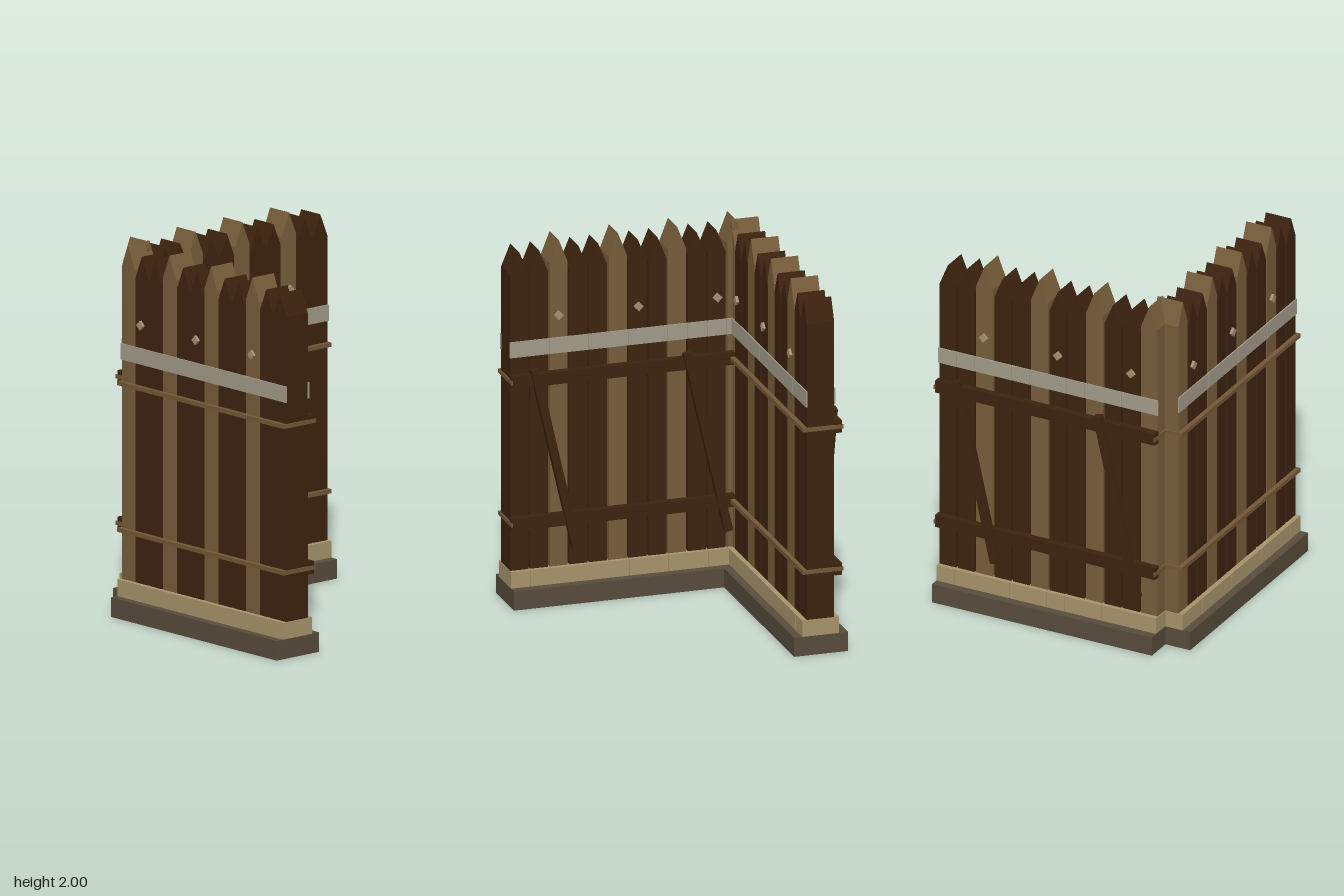
import * as THREE from 'three';

const mat = (name, color) => {
  const m = new THREE.MeshStandardMaterial({ color });
  m.name = name;
  return m;
};

export function createModel() {
  const dark = mat('darkWood', 0x3d220f);
  const light = mat('lightWood', 0x775d3a);
  const earth = mat('earth', 0x574b3b);
  const sand = mat('sandstone', 0xa6936a);
  const paint = mat('palePaint', 0xa29b8a);
  const cord = mat('cord', 0x735735);
  const stud = mat('stud', 0xa38f70);

  const X0 = -0.58, PITCH = 0.10875, COUNT = 12;
  const ZB = 0.505, ZF = 0.655, ZM = (ZB + ZF) / 2;

  // box given by its limits on each axis
  function box(parent, name, material, x0, x1, y0, y1, z0, z1) {
    const m = new THREE.Mesh(new THREE.BoxGeometry(x1 - x0, y1 - y0, z1 - z0), material);
    m.position.set((x0 + x1) / 2, (y0 + y1) / 2, (z0 + z1) / 2);
    m.name = name;
    parent.add(m);
    return m;
  }

  // pointed plank, extruded through the wall thickness
  function plankGeometry(shoulder, tip) {
    const w = 0.0495;
    const s = new THREE.Shape();
    s.moveTo(-w, 0.1);
    s.lineTo(w, 0.1);
    s.lineTo(w, shoulder);
    s.lineTo(0, tip);
    s.lineTo(-w, shoulder);
    s.closePath();
    return new THREE.ExtrudeGeometry(s, { depth: ZF - ZB, bevelEnabled: false });
  }
  const tallPlank = plankGeometry(1.875, 2.0);
  const shortPlank = plankGeometry(1.835, 1.955);

  function createWall(name) {
    const wall = new THREE.Group();
    wall.name = name;
    box(wall, 'base', earth, X0, 0.725, 0, 0.105, 0.43, 0.727);

    // planks, footing blocks and painted stripe segments
    for (let i = 0; i < COUNT; i++) {
      const x = X0 + PITCH * (i + 0.5);
      const tall = i % 3 === 0;
      const plank = new THREE.Mesh(tall ? tallPlank : shortPlank, tall ? light : dark);
      plank.position.set(x, 0, ZB);
      plank.name = 'plank';
      wall.add(plank);
      box(wall, 'footingBlock', sand, x - 0.0538, x + 0.0538, 0.105, 0.195, 0.48, 0.682);
      for (const z of [ZB - 0.003, ZF + 0.003]) {
        box(wall, 'stripe', paint, x - 0.0535, x + 0.0535, 1.375, 1.462, z - 0.004, z + 0.004);
      }
    }

    // diamond studs on both faces
    for (const x of [-0.42, 0.015, 0.455]) {
      for (const z of [ZB - 0.006, ZF + 0.006]) {
        const d = box(wall, 'diamondStud', stud, x - 0.018, x + 0.018, 1.567, 1.603, z - 0.009, z + 0.009);
        d.rotation.z = Math.PI / 4;
      }
    }

    // rear rails, with a cord along the front and around both ends
    for (const y of [0.461, 1.249]) {
      box(wall, 'rail', dark, X0, 0.726, y - 0.034, y + 0.034, 0.465, ZB);
      box(wall, 'cordFront', cord, X0 - 0.004, 0.729, y - 0.011, y + 0.011, ZF, 0.68);
      for (const x of [X0, 0.725]) {
        box(wall, 'cordEnd', cord, x - 0.004, x + 0.004, y - 0.011, y + 0.011, 0.457, ZF);
      }
    }

    // leaning rear braces
    for (const x of [-0.355, 0.485]) {
      const b = box(wall, 'brace', dark, x - 0.022, x + 0.022, 0.29, 1.32, 0.451, 0.487);
      b.rotation.z = -Math.atan2(0.23, 1.01);
      b.scale.y = 1.005;
    }
    return wall;
  }

  const model = new THREE.Group();
  model.name = 'palisadeCorner';
  model.add(createWall('frontWall'));

  // same wall turned a quarter to form the corner
  const side = createWall('sideWall');
  side.rotation.y = Math.PI / 2;
  side.position.x = -2 * ZM;
  model.add(side);
  return model;
}
